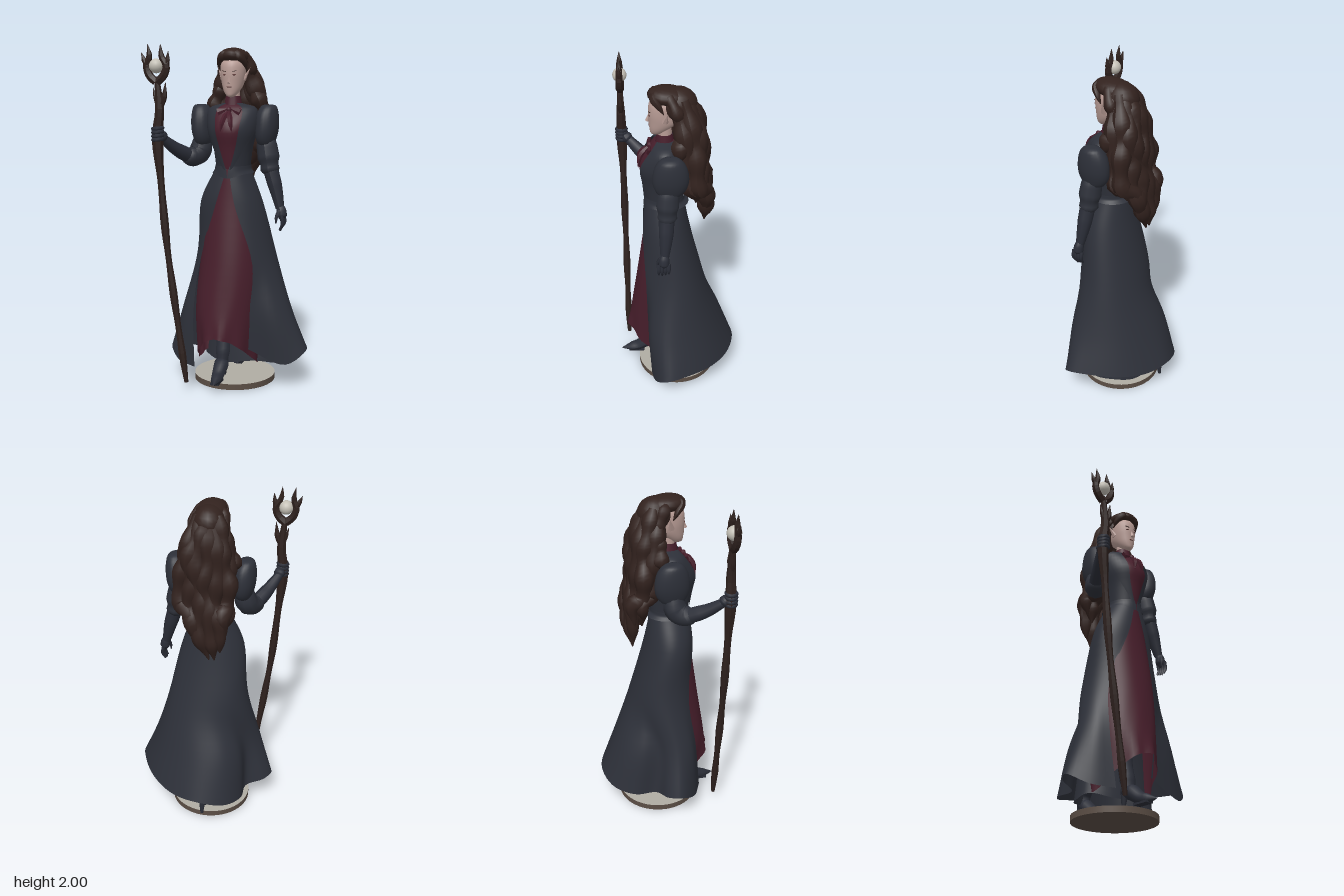
import * as THREE from 'three';
import { mergeVertices } from 'three/addons/utils/BufferGeometryUtils.js';

const V = (x, y, z) => new THREE.Vector3(x, y, z);
const PI2 = Math.PI * 2;
const MID = 0.01; // body's mirror plane

const mat = (name, color, side = THREE.FrontSide) => {
  const m = new THREE.MeshStandardMaterial({ color, side });
  m.name = name;
  return m;
};

export function createModel() {
  const coat = mat('coat', 0x2d3039, THREE.DoubleSide);
  const wine = mat('wine cloth', 0x471e2b, THREE.DoubleSide);
  const leather = mat('glove and boot leather', 0x2a2d37);
  const hair = mat('hair', 0x32221e);
  const skin = mat('skin', 0xb89c95);
  const wood = mat('staff wood', 0x2d201d);
  const pearl = mat('orb', 0xc4c0b6);
  const stone = mat('base top', 0xb0aca3);
  const rim = mat('base rim', 0x5b4e45);
  const dark = mat('face detail', 0x5a3634);
  const model = new THREE.Group();
  model.name = 'robedMage';

  const add = (name, geo, material, pos = [0, 0, 0], scale = [1, 1, 1], rot = [0, 0, 0]) => {
    const m = new THREE.Mesh(geo, material);
    m.name = name;
    m.position.set(...pos);
    m.scale.set(...scale);
    m.rotation.set(...rot);
    model.add(m);
    return m;
  };
  const flat = (geo) => {
    const g = geo.index ? geo.toNonIndexed() : geo;
    g.computeVertexNormals();
    return g;
  };

  // Tapered tube through points, radius interpolated along the length
  const limb = (name, pts, radii, material, { sides = 10, seg = 16, facet = false, wave = 0, phase = 0 } = {}) => {
    const curve = new THREE.CatmullRomCurve3(pts.map((p) => V(...p)));
    const geo = new THREE.TubeGeometry(curve, seg, 1, sides);
    const p = geo.attributes.position, v = V(0, 0, 0);
    for (let i = 0; i <= seg; i++) {
      const u = i / seg, f = u * (radii.length - 1), k = Math.min(Math.floor(f), radii.length - 2);
      const r = THREE.MathUtils.lerp(radii[k], radii[k + 1], f - k) * (1 + wave * Math.sin(u * 26 + phase));
      const c = curve.getPointAt(u);
      for (let j = 0; j <= sides; j++) {
        const n = i * (sides + 1) + j;
        v.fromBufferAttribute(p, n).sub(c).multiplyScalar(r).add(c);
        p.setXYZ(n, v.x, v.y, v.z);
      }
    }
    geo.computeVertexNormals();
    return add(name, facet ? flat(geo) : geo, material);
  };

  // Surface through rows, top to bottom: [y, cx, cz, rx, rzFront, rzBack, startAngle, endAngle] or functions of t
  const loft = (name, rows, material, cols = 36, steps = 16) => {
    const at = (row, t) => {
      if (typeof row === 'function') return row(t);
      const [y, cx, cz, rx, rf, rb, a0 = 0, a1 = PI2] = row;
      const a = a0 + (a1 - a0) * t, c = Math.cos(a);
      return V(cx + rx * Math.sin(a), y, cz + (c > 0 ? rf : rb) * c);
    };
    const pos = [], idx = [];
    for (let c = 0; c <= cols; c++) {
      const line = new THREE.CatmullRomCurve3(rows.map((r) => at(r, c / cols)));
      for (let s = 0; s <= steps; s++) pos.push(...line.getPoint(s / steps).toArray());
    }
    for (let c = 0; c < cols; c++) for (let s = 0; s < steps; s++) {
      const a = c * (steps + 1) + s, d = a + steps + 1;
      idx.push(a, a + 1, d, d, a + 1, d + 1);
    }
    let geo = new THREE.BufferGeometry();
    geo.setAttribute('position', new THREE.Float32BufferAttribute(pos, 3));
    geo.setIndex(idx);
    geo = mergeVertices(geo, 1e-5);
    geo.computeVertexNormals();
    return add(name, geo, material);
  };
  const ball = (w = 12, h = 9) => new THREE.SphereGeometry(1, w, h);

  // Display base
  add('base', new THREE.CylinderGeometry(0.245, 0.245, 0.035, 48), [rim, stone, rim], [0, 0.0175, 0]);

  // Long open coat with a swept, uneven hem
  const outline = (pts) => new THREE.CatmullRomCurve3(pts.map((p) => V(...p)));
  const shin = outline([[0.14, 0.18], [0.28, 0.165], [0.362, 0.08], [0.345, -0.04], [0.27, -0.155], [0.15, -0.235], [0, -0.268],
    [-0.13, -0.235], [-0.205, -0.15], [-0.225, -0.05], [-0.28, 0], [-0.306, 0.06], [-0.27, 0.145], [-0.2, 0.19]].map(([x, z]) => [x, 0.45, z]));
  const hem = outline([
    [0.12, 0.24, 0.17], [0.35, 0.155, 0.15], [0.458, 0.225, 0.075], [0.42, 0.235, -0.06], [0.32, 0.22, -0.21],
    [0.17, 0.2, -0.32], [0, 0.2, -0.365], [-0.15, 0.17, -0.32], [-0.235, 0.15, -0.2], [-0.245, 0.15, -0.07],
    [-0.35, 0.18, -0.02], [-0.388, 0.19, 0.055], [-0.31, 0.13, 0.16], [-0.185, 0.115, 0.225]]);
  loft('coatSkirt', [
    [1.3, 0.01, 0.06, 0.1, 0.12, 0.1, 0.06, PI2 - 0.06],
    [1.1, 0, 0.06, 0.186, 0.145, 0.135, 0.3, PI2 - 0.3],
    [0.75, 0.02, 0.02, 0.248, 0.2, 0.18, 0.6, PI2 - 0.86],
    (t) => shin.getPoint(t), (t) => hem.getPoint(t)], coat, 64, 24);
  loft('coatUnderskirt', [
    [0.62, 0.02, -0.03, 0.19, 0.1, 0.14],
    [0.35, 0.05, -0.05, 0.225, 0.12, 0.18],
    (t) => V(0.05 + 0.25 * Math.sin(t * PI2), 0.125 + 0.012 * Math.sin(t * PI2 * 4), -0.055 + (Math.cos(t * PI2) > 0 ? 0.145 : 0.2) * Math.cos(t * PI2))], coat);

  // Wine dress showing through the opening
  loft('dressSkirt', [
    [1.31, 0.01, 0.06, 0.085, 0.112, 0.09],
    [1.1, 0, 0.06, 0.15, 0.13, 0.11],
    [0.75, 0, 0.05, 0.19, 0.19, 0.11],
    [0.45, -0.02, 0.05, 0.197, 0.235, 0.12],
    (t) => {
      const a = t * PI2, c = Math.cos(a), k = 1 + 0.035 * Math.sin(a * 11);
      return V(-0.02 + 0.185 * k * Math.sin(a), 0.12 + 0.2 * Math.max(0, c) ** 1.5 + 0.07 * Math.max(0, -c), 0.06 + (c > 0 ? 0.25 * (0.6 + 0.4 * c) : 0.08) * k * c);
    }], wine, 66, 20);

  // Bodice, open coat top and lapels
  const bodice = [[1.672, 0.05, 0.048, 0.05, 0.6], [1.64, 0.14, 0.085, 0.085, 0.55], [1.53, 0.142, 0.155, 0.11, 0.52],
    [1.42, 0.115, 0.138, 0.105, 0.42], [1.29, 0.098, 0.118, 0.1, 0.1]];
  loft('bodice', bodice.map(([y, rx, f, b]) => [y, MID, 0.06, rx - 0.006, f - 0.006, b - 0.006]), wine);
  loft('coatTop', bodice.map(([y, rx, f, b, e]) => [y, MID, 0.06, rx, f, b, e, PI2 - e]), coat);
  const lapelWidth = [0.5, 0.6, 0.8, 0.45, 0.1];
  for (const s of [1, -1]) {
    loft('lapel', bodice.map(([y, rx, f, b, e], i) => {
      const ends = [s * e, s * (e + lapelWidth[i])].sort((p, q) => p - q);
      return [y, MID, 0.06, rx + 0.01, f + 0.009, b + 0.01, ...ends];
    }), coat, 6);
  }
  loft('waistband', [[1.315, MID, 0.06, 0.105, 0.126, 0.106, 0.14, PI2 - 0.14], [1.29, MID, 0.06, 0.108, 0.128, 0.107, 0.05, PI2 - 0.05],
    (t) => V(MID + 0.122 * Math.sin(t * PI2), 1.27 - 0.025 * Math.max(0, Math.cos(t * PI2)) ** 6, 0.06 + 0.13 * Math.cos(t * PI2))], coat);

  // Collar and bow at the throat
  add('collar', new THREE.CylinderGeometry(0.043, 0.055, 0.07, 16, 1, true), wine, [MID, 1.677, 0.065]);
  add('bowKnot', ball(8, 6), wine, [MID, 1.635, 0.15], [0.016, 0.018, 0.016]);
  for (const s of [1, -1]) {
    add('bowLoop', flat(new THREE.ConeGeometry(0.026, 0.065, 6)), wine, [MID + s * 0.035, 1.632, 0.15], [1, 1, 0.6], [0, 0, s * 1.2]);
    limb('bowTail', [[MID, 1.63, 0.15], [MID + s * 0.02, 1.58, 0.2], [MID + s * 0.034, 1.51, 0.215]], [0.008, 0.016, 0.014, 0.001], wine, { sides: 5, facet: true });
  }

  // Head
  add('neck', new THREE.CylinderGeometry(0.036, 0.038, 0.1, 14), skin, [MID, 1.72, 0.062]);
  loft('head', [[1.965, MID, 0.04, 0.03, 0.04, 0.04], [1.9, MID, 0.06, 0.069, 0.084, 0.11], [1.845, MID, 0.07, 0.071, 0.083, 0.11],
    [1.79, MID, 0.07, 0.064, 0.081, 0.09], [1.74, MID, 0.095, 0.045, 0.052, 0.055], [1.712, MID, 0.11, 0.022, 0.03, 0.03],
    [1.705, MID, 0.115, 0.002, 0.002, 0.002]], skin, 28, 24);
  add('nose', flat(new THREE.ConeGeometry(0.011, 0.05, 4)), skin, [MID, 1.81, 0.153], [1, 1, 1.2], [-0.2, 0, 0]);
  add('lips', ball(8, 6), dark, [MID, 1.764, 0.148], [0.015, 0.004, 0.004]);
  for (const s of [1, -1]) {
    add('eye', ball(8, 6), dark, [MID + s * 0.029, 1.832, 0.146], [0.011, 0.0035, 0.004], [0, s * 0.35, 0]);
    add('brow', new THREE.BoxGeometry(0.026, 0.003, 0.006), hair, [MID + s * 0.03, 1.852, 0.146], [1, 1, 1], [0, s * 0.35, s * 0.2]);
    add('ear', flat(new THREE.ConeGeometry(0.02, 0.08, 6)), skin, [MID + s * 0.08, 1.84, 0.055], [0.6, 1, 1], [-0.25, 0, -s * 0.45]);
  }

  // Hair: rounded cap, swept crown, side strands and long wavy locks
  add('hairCap', ball(18, 12), hair, [MID, 1.885, -0.012], [0.094, 0.096, 0.104]);
  add('hairCrown', ball(18, 12), hair, [MID, 1.936, 0.045], [0.086, 0.05, 0.112], [-0.08, 0, 0]);
  const curl = { sides: 9, seg: 36, wave: 0.16 };
  for (const s of [1, -1]) {
    limb('fringe', [[MID + s * 0.005, 1.955, 0.1], [MID + s * 0.045, 1.94, 0.122], [MID + s * 0.073, 1.905, 0.095], [MID + s * 0.08, 1.86, 0.068]],
      [0.02, 0.026, 0.022, 0.014, 0.002], hair, { sides: 7 });
    limb('sideLock', [[MID + s * 0.05, 1.95, 0.04], [MID + s * 0.084, 1.9, 0.01], [MID + s * 0.085, 1.81, -0.02], [MID + s * 0.115, 1.72, -0.02], [MID + s * 0.14, 1.66, -0.02], [MID + s * 0.11, 1.6, -0.04]],
      [0.025, 0.034, 0.032, 0.034, 0.046, 0.044, 0.004], hair, { ...curl, phase: s });
  }
  const lock = (s, z, drop, ph) => {
    const w = (k) => 0.018 * Math.sin(k * 2.2 + ph), front = 0.03 * s * s + z;
    limb('longLock', [[MID + 0.05 * s, 1.93, -0.035 + z], [MID + 0.08 * s, 1.82, -0.1 + front], [0.02 + 0.115 * s + w(1), 1.69, -0.128 + front],
      [0.02 + 0.125 * s + w(2), 1.56, -0.138 + front], [0.01 + 0.125 * s + w(3), 1.43, -0.15 + front],
      [0.115 * s + w(4), 1.31 + drop / 2, -0.168 + z], [-0.04 + 0.08 * s, 1.1 + drop, -0.165 + z]],
    [0.03, 0.05, 0.052, 0.052, 0.05, 0.05, 0.048, 0.042, 0.004], hair, { ...curl, phase: ph });
  };
  for (let i = 0; i < 6; i++) {
    const s = (i - 2.5) / 2.5;
    lock(s, 0, 0.17 * s * s, i * 1.7);
    if (i % 5 !== 2) lock(s * 0.95, 0.05, 0.12 + 0.08 * s * s, i + 2);
  }

  // Puffed upper sleeves, peaked at the shoulder
  for (const s of [1, -1]) {
    loft('puffSleeve', [[1.665, 0.2, 0.035, 0.002, 0.002, 0.002], [1.658, 0.215, 0.035, 0.04, 0.05, 0.05], [1.61, 0.208, 0.035, 0.062, 0.086, 0.086],
      [1.53, 0.205, 0.035, 0.066, 0.1, 0.1], [1.47, 0.2, 0.037, 0.058, 0.09, 0.09], [1.43, 0.2, 0.04, 0.04, 0.06, 0.06], [1.425, 0.2, 0.04, 0.002, 0.002, 0.002]]
      .map((r) => [r[0], MID + s * (r[1] - MID), ...r.slice(2)]), coat, 20, 20);
  }
  // Left arm hanging, right arm reaching to the staff
  limb('leftSleeve', [[0.2, 1.47, 0.045], [0.218, 1.37, 0.053], [0.235, 1.25, 0.057]], [0.05, 0.06, 0.062, 0.064, 0.052, 0.056, 0.02], coat);
  limb('leftForearm', [[0.238, 1.28, 0.06], [0.27, 1.17, 0.065], [0.295, 1.07, 0.073]], [0.044, 0.042, 0.034, 0.025], leather);
  limb('leftPalm', [[0.293, 1.09, 0.072], [0.305, 1.05, 0.076], [0.308, 0.995, 0.08]], [0.02, 0.028, 0.03, 0.005], leather);
  for (let i = 0; i < 4; i++) {
    const z = 0.108 - i * 0.019;
    limb('leftFinger', [[0.31, 1.03, z], [0.318, 0.985, z], [0.3, 0.94 + 0.006 * Math.abs(i - 1), z]], [0.012, 0.011, 0.005], leather, { sides: 6, seg: 6 });
  }
  limb('leftThumb', [[0.295, 1.06, 0.095], [0.283, 1.02, 0.112], [0.28, 0.985, 0.112]], [0.012, 0.011, 0.004], leather, { sides: 6, seg: 6 });
  limb('rightSleeve', [[-0.185, 1.47, 0.04], [-0.2, 1.385, 0.055], [-0.23, 1.36, 0.1], [-0.265, 1.385, 0.15]], [0.05, 0.06, 0.066, 0.064, 0.06, 0.054, 0.02], coat);
  limb('rightForearm', [[-0.24, 1.36, 0.11], [-0.295, 1.41, 0.2], [-0.345, 1.475, 0.28]], [0.045, 0.043, 0.035, 0.026], leather);
  limb('rightPalm', [[-0.34, 1.465, 0.27], [-0.35, 1.495, 0.295], [-0.36, 1.52, 0.305]], [0.022, 0.034, 0.03, 0.005], leather);
  for (let i = 0; i < 4; i++)
    add('rightFinger', new THREE.TorusGeometry(0.027, 0.012, 6, 14), leather, [-0.36, 1.47 + i * 0.021, 0.318], [1, 1, 1], [Math.PI / 2, 0.1, 0]);

  // Gnarled staff with claws holding an orb
  const SZ = 0.316, gnarl = { sides: 7, seg: 40, facet: true, wave: 0.12 };
  limb('staffShaft', [[-0.203, 0.05], [-0.245, 0.35], [-0.283, 0.62], [-0.318, 0.9], [-0.343, 1.2], [-0.363, 1.5], [-0.348, 1.63], [-0.362, 1.82]]
    .map(([x, y]) => [x, y, SZ]), [0.012, 0.021, 0.02, 0.021, 0.02, 0.022, 0.021, 0.024, 0.03, 0.03, 0.012], wood, gnarl);
  const claw = (pts, radii) => limb('staffClaw', pts.map(([x, y]) => [x, y, SZ]), radii, wood, { sides: 6, seg: 12, facet: true });
  claw([[-0.365, 1.79], [-0.404, 1.825], [-0.422, 1.88], [-0.405, 1.93], [-0.415, 2.0]], [0.024, 0.023, 0.02, 0.016, 0.001]);
  claw([[-0.36, 1.79], [-0.322, 1.825], [-0.304, 1.88], [-0.332, 1.93], [-0.338, 2.0]], [0.024, 0.023, 0.02, 0.016, 0.001]);
  claw([[-0.415, 1.88], [-0.435, 1.91], [-0.453, 1.955]], [0.018, 0.014, 0.001]);
  claw([[-0.31, 1.87], [-0.298, 1.91], [-0.292, 1.96]], [0.018, 0.014, 0.001]);
  claw([[-0.352, 1.64], [-0.322, 1.7], [-0.31, 1.79]], [0.018, 0.017, 0.001]);
  claw([[-0.355, 1.66], [-0.372, 1.71], [-0.385, 1.76]], [0.016, 0.012, 0.001]);
  add('orb', new THREE.SphereGeometry(0.041, 20, 14), pearl, [-0.364, 1.88, SZ]);

  // Heeled boots, front one stepping forward, rear leg slanting up under the coat
  const boot = (name, x, z, lift, lean) => {
    limb(name + 'Shaft', [[x, 0.42, z + lean], [x, 0.3, z + lean * 0.45], [x, 0.2, z], [x, 0.13, z + 0.02]], [0.05, 0.048, 0.042, 0.044, 0.03], leather);
    limb(name + 'Foot', [[x, 0.15 + lift, z - 0.03], [x, 0.125, z + 0.04], [x, 0.08, z + 0.11], [x + 0.01, 0.062, z + 0.215]], [0.025, 0.045, 0.038, 0.03, 0.003], leather);
    add(name + 'Sole', new THREE.BoxGeometry(0.05, 0.012, 0.1), leather, [x, 0.052, z + 0.12]);
    add(name + 'Heel', new THREE.CylinderGeometry(0.024, 0.009, 0.11, 8), leather, [x, 0.1 + lift, z - 0.03], [1, 1, 1], [0.12, 0, 0]);
  };
  boot('frontBoot', -0.032, 0.145, 0, -0.05);
  boot('rearBoot', -0.01, -0.265, 0.025, 0.16);

  return model;
}
